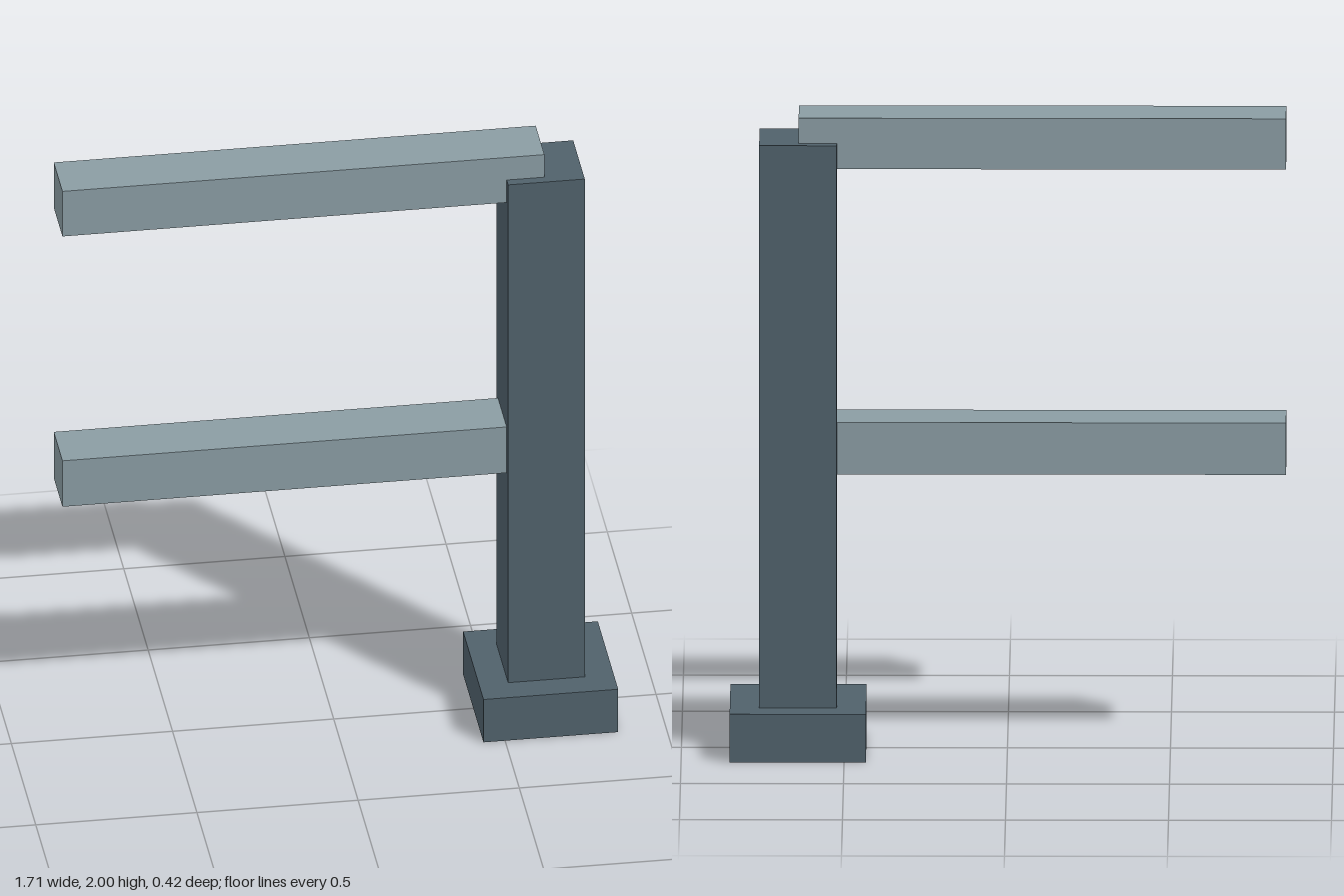
import * as THREE from 'three';

export function createModel() {
  const group = new THREE.Group();
  const dark = new THREE.MeshStandardMaterial({ color: 0x50616b });
  const light = new THREE.MeshStandardMaterial({ color: 0x8a9ca3 });

  // Box spanning x0..x1 and y0..y1, centred on z = 0
  function block(name, material, x0, x1, y0, y1, depth) {
    const mesh = new THREE.Mesh(new THREE.BoxGeometry(x1 - x0, y1 - y0, depth), material);
    mesh.position.set((x0 + x1) / 2, (y0 + y1) / 2, 0);
    mesh.name = name;
    group.add(mesh);
  }

  // Footing and upright
  block('base', dark, 0.433, 0.851, 0, 0.152, 0.418);
  block('post', dark, 0.523, 0.761, 0.152, 1.92, 0.238);

  // Rails run into the middle of the post
  block('lowerRail', light, -0.855, 0.64, 0.88, 1.043, 0.178);
  block('topRail', light, -0.855, 0.64, 1.84, 2, 0.178);

  return group;
}
